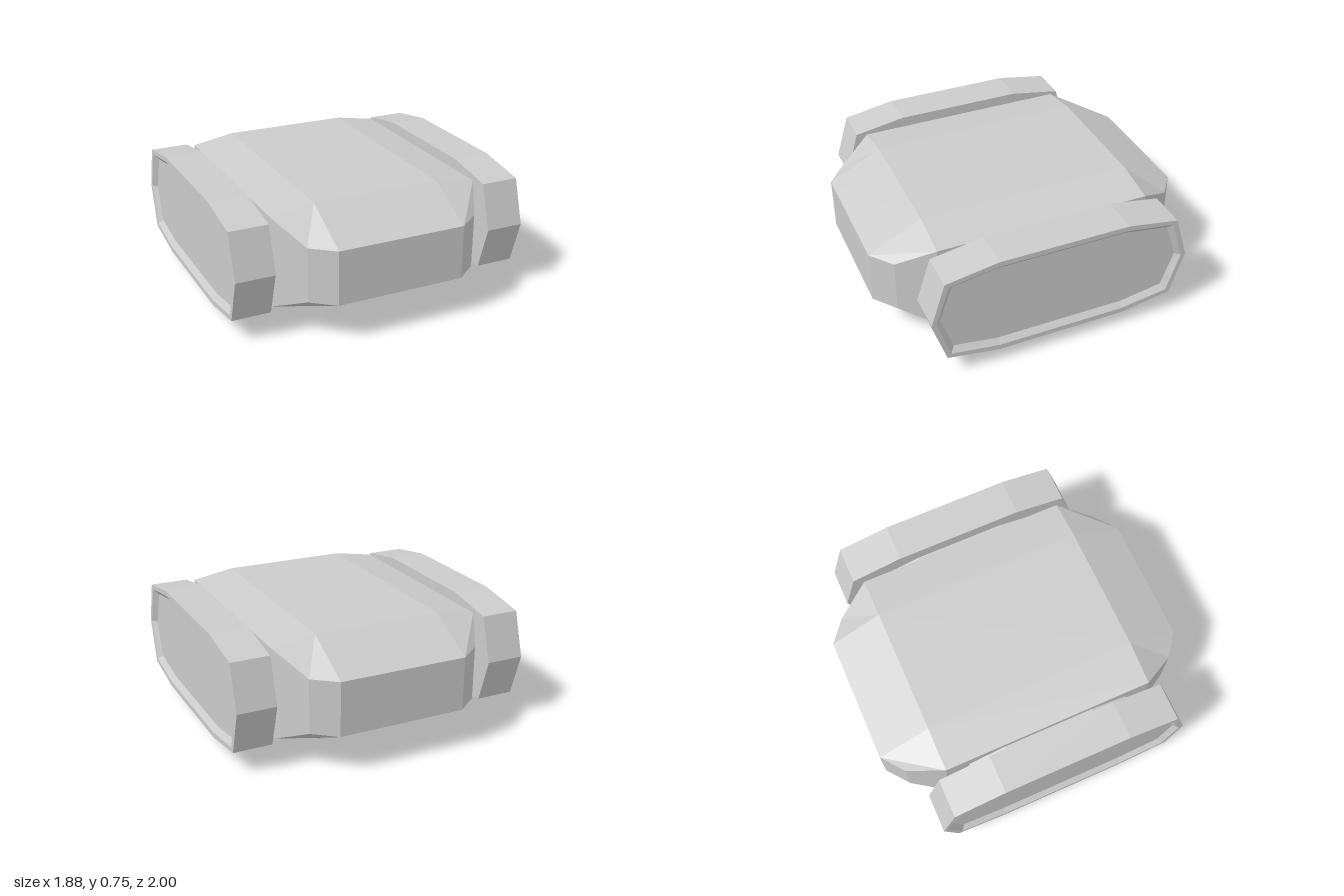
import * as THREE from 'three';

const material = new THREE.MeshStandardMaterial({ color: 0xcccccc, flatShading: true });

// Skins a list of equal-length rings and closes both ends with flat fans.
function loft(rings) {
  const pos = [];
  const tri = (a, b, c) => {
    const area = b.clone().sub(a).cross(c.clone().sub(a)).length();
    if (area > 1e-7) for (const p of [a, b, c]) pos.push(p.x, p.y, p.z);
  };
  const n = rings[0].length;
  for (let r = 0; r < rings.length - 1; r++) {
    const A = rings[r], B = rings[r + 1];
    for (let i = 0; i < n; i++) {
      const j = (i + 1) % n;
      tri(A[i], A[j], B[j]);
      tri(A[i], B[j], B[i]);
    }
  }
  const first = rings[0], last = rings[rings.length - 1];
  for (let i = 1; i < n - 1; i++) {
    tri(first[0], first[i + 1], first[i]);
    tri(last[0], last[i], last[i + 1]);
  }
  const g = new THREE.BufferGeometry();
  g.setAttribute('position', new THREE.Float32BufferAttribute(pos, 3));
  g.computeVertexNormals();
  return g;
}

function addMesh(parent, name, geometry) {
  const mesh = new THREE.Mesh(geometry, material);
  mesh.name = name;
  parent.add(mesh);
  return mesh;
}

// Eight-sided hull ring: side corners (sx, sz) and top/bottom corners (cx, cz).
function hullRing(sx, sLow, sHigh, sz, cx, cLow, cHigh, cz) {
  const half = [[sx, sLow, sz], [sx, sHigh, sz], [cx, cHigh, cz]];
  const other = [[-cx, cHigh, cz], [-sx, sHigh, sz], [-sx, sLow, sz], [-cx, cLow, cz], [cx, cLow, cz]];
  return [...half, ...other].map(p => new THREE.Vector3(...p));
}

const MID = 0.42;
// Ten-sided pod ring at a given x: tip, shoulder and flat half-sizes.
function podRing(x, tip, shoulderZ, shoulderY, flatZ, flatY) {
  const q = [[0, tip], [shoulderY, shoulderZ], [flatY, flatZ]];
  const pts = [
    q[0], q[1], q[2], [flatY, -flatZ], [shoulderY, -shoulderZ], [0, -tip],
    [-shoulderY, -shoulderZ], [-flatY, -flatZ], [-flatY, flatZ], [-shoulderY, shoulderZ],
  ].reverse();
  return pts.map(([y, z]) => new THREE.Vector3(x, MID + y, z));
}

export function createModel() {
  const model = new THREE.Group();
  model.name = 'model';

  // Main hull with tapered, chamfered ends
  const ends = [
    z => hullRing(0.4, 0.25, 0.585, z, 0.4, 0.25, 0.585, z),
    z => hullRing(0.54, 0.25, 0.585, z * 0.89, 0.4, 0.25, 0.585, z),
    z => hullRing(0.665, 0.145, 0.705, z * 0.67, 0.4, 0.09, 0.75, z * 0.67),
  ];
  addMesh(model, 'hull', loft([
    ends[0](-1), ends[1](-1), ends[2](-1), ends[2](1), ends[1](1), ends[0](1),
  ]));

  // Side pods with a recessed outer panel, each on a short connector
  const podGeometry = loft([
    podRing(0.70, 0.815, 0.73, 0.275, 0.405, 0.33),
    podRing(0.94, 0.815, 0.73, 0.275, 0.405, 0.33),
    podRing(0.94, 0.785, 0.705, 0.25, 0.405, 0.297),
    podRing(0.91, 0.755, 0.68, 0.22, 0.405, 0.264),
  ]);
  const connectorGeometry = loft([
    podRing(0.64, 0.58, 0.52, 0.2, 0.29, 0.244),
    podRing(0.71, 0.58, 0.52, 0.2, 0.29, 0.244),
  ]);
  for (const [side, turn] of [['left', 0], ['right', Math.PI]]) {
    const group = new THREE.Group();
    group.name = side + 'PodAssembly';
    addMesh(group, side + 'Pod', podGeometry);
    addMesh(group, side + 'Connector', connectorGeometry);
    group.rotation.y = turn;
    model.add(group);
  }

  // Underside plates: one large in the centre, four small around it
  addMesh(model, 'centrePlate', new THREE.BoxGeometry(0.55, 0.11, 0.52)).position.y = 0.055;
  const plate = new THREE.BoxGeometry(0.335, 0.05, 0.265);
  for (const x of [-1, 1]) {
    for (const z of [-1, 1]) {
      const name = (z > 0 ? 'front' : 'back') + (x > 0 ? 'Left' : 'Right') + 'Plate';
      addMesh(model, name, plate).position.set(x * 0.1975, 0.08, z * 0.5);
    }
  }
  return model;
}
